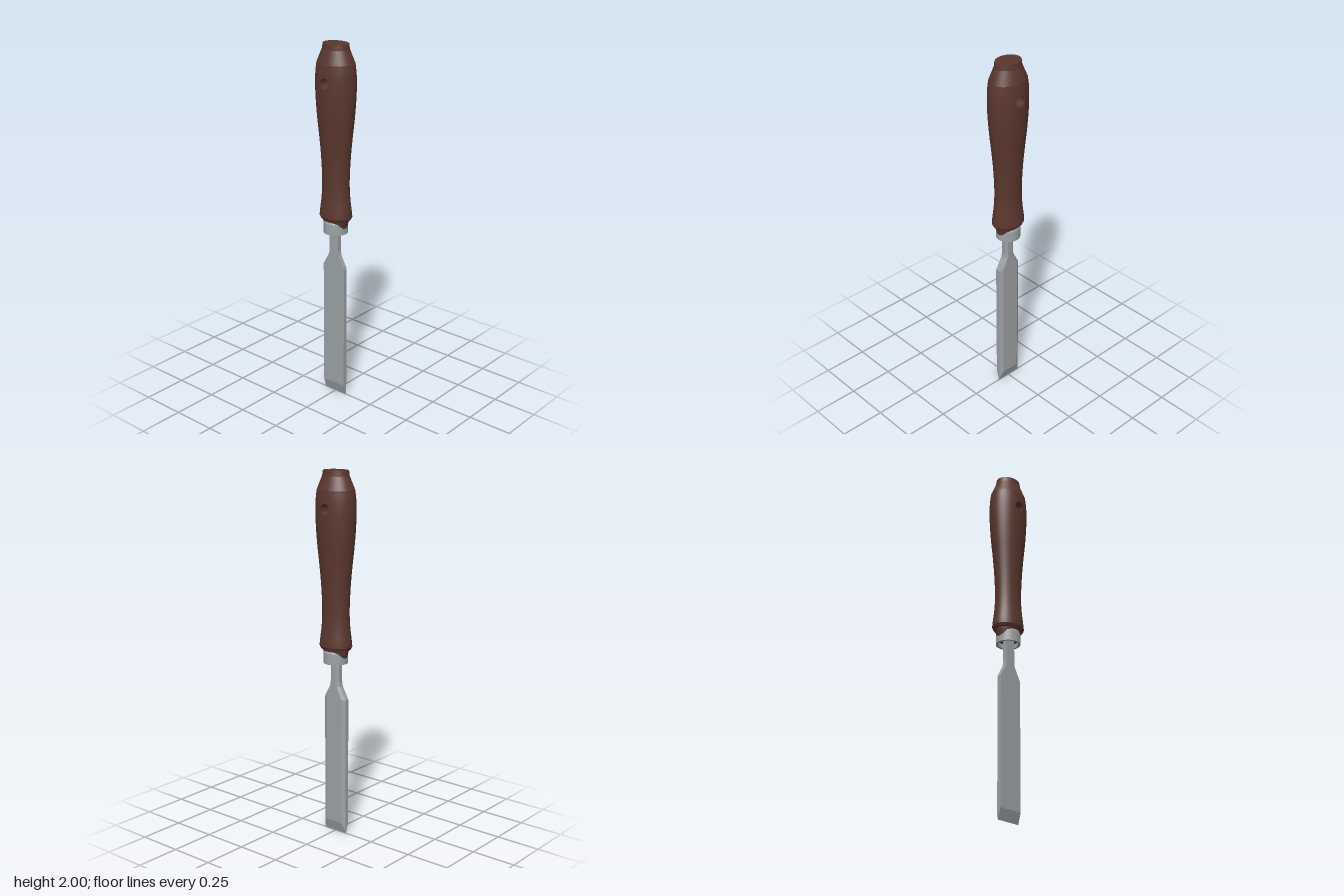
import * as THREE from 'three';
import { mergeGeometries } from 'three/addons/utils/BufferGeometryUtils.js';

const FLAT = 0.8;                       // handle depth / width
const HOLE_Y = 1.805, HOLE_R = 0.029;   // hanging hole
const Y0 = 1.07, Y1 = 1.9;              // ends of the curved grip

// Grip half-width as a smooth function of height
const gripCurve = new THREE.CubicInterpolant(
  [Y0, 1.1, 1.17, 1.25, 1.4, 1.5, 1.6, 1.7, 1.78, 1.85, Y1],
  [0.095, 0.092, 0.083, 0.079, 0.085, 0.094, 0.105, 0.113, 0.116, 0.114, 0.108], 1);
const R = y => gripCurve.evaluate(THREE.MathUtils.clamp(y, Y0, Y1))[0];
const onGrip = (t, y) => [R(y) * Math.cos(t), y, FLAT * R(y) * Math.sin(t)];

function gripNormal([x, y, z]) {
  const r = R(y), slope = (R(y + 0.002) - R(y - 0.002)) / 0.004;
  return [x, -r * slope, z / (FLAT * FLAT)];
}

// Grid of quads with a rule for points and one for normals
function grid(ni, nj, point, normal, skip = () => false) {
  const pos = [], nor = [], index = [];
  for (let i = 0; i <= ni; i++) for (let j = 0; j <= nj; j++) {
    const p = point(i, j);
    pos.push(...p);
    nor.push(...new THREE.Vector3(...normal(p)).normalize().toArray());
    if (i === ni || j === nj || skip(i, j)) continue;
    const a = i * (nj + 1) + j, d = a + nj + 1;
    index.push(a, a + 1, d + 1, a, d + 1, d);
  }
  const g = new THREE.BufferGeometry();
  g.setAttribute('position', new THREE.Float32BufferAttribute(pos, 3));
  g.setAttribute('normal', new THREE.Float32BufferAttribute(nor, 3));
  g.setIndex(index);
  return g;
}

// Turned part whose profile corners all stay sharp
function sharpLathe(profile) {
  const pts = profile.map(p => new THREE.Vector2(...p));
  return mergeGeometries(pts.slice(1).map((p, i) => new THREE.LatheGeometry([pts[i], p], 64)));
}

function gripGeometry() {
  const SEG = 64, N = 8, LOW = 24, halfT = Math.PI / 8, halfY = 0.045;
  const ya = HOLE_Y - halfY, yb = HOLE_Y + halfY, ys = [];
  for (let i = 0; i < LOW; i++) ys.push(Y0 + (ya - Y0) * i / LOW);
  for (let i = 0; i < N; i++) ys.push(ya + (yb - ya) * i / N);
  for (let i = 0; i <= 6; i++) ys.push(yb + (Y1 - yb) * i / 6);

  // Main surface, leaving a window front and back
  const body = grid(SEG, ys.length - 1,
    (i, j) => onGrip(i / SEG * Math.PI * 2, ys[j]), gripNormal,
    (i, j) => j >= LOW && j < LOW + N && (i % 32) >= 12 && (i % 32) < 20);

  // Window filled from its square rim in to the round hole
  const corners = [[-1, -1], [1, -1], [1, 1], [-1, 1]];
  const patch = turn => grid(4, 4 * N, (k, j) => {
    const side = Math.floor(j / N) % 4, f = (j % N) / N;
    const [c, d] = [corners[side], corners[(side + 1) % 4]];
    const u = c[0] + (d[0] - c[0]) * f, v = c[1] + (d[1] - c[1]) * f;
    const a = Math.atan2(v, u), hy = HOLE_Y + HOLE_R * Math.sin(a);
    const ht = Math.acos(-HOLE_R * Math.cos(a) / R(hy));
    const t = THREE.MathUtils.lerp(ht, Math.PI / 2 + u * halfT, k / 4);
    return onGrip(t + turn, THREE.MathUtils.lerp(hy, HOLE_Y + v * halfY, k / 4));
  }, gripNormal);

  // Wall of the hole
  const bore = grid(32, 1, (i, j) => {
    const a = i / 32 * Math.PI * 2;
    const x = HOLE_R * Math.cos(a), y = HOLE_Y + HOLE_R * Math.sin(a);
    return [x, y, (j ? 1 : -1) * FLAT * Math.sqrt(R(y) ** 2 - x * x)];
  }, ([x, y]) => [-x, HOLE_Y - y, 0]);

  return mergeGeometries([body, patch(0), patch(Math.PI), bore]);
}

// Blade lofted through six-sided sections: flat front, bevelled back edges
function bladeGeometry() {
  // height, half-width, bevel width, front z, side z, back z
  const sections = [
    [0, 0.0725, 0.0002, 0.001, -0.0008, -0.001],
    [0.017, 0.0725, 0.0002, 0.006, -0.005, -0.0052],
    [0.06, 0.0725, 0.02, 0.018, -0.005, -0.018],
    [0.775, 0.0725, 0.02, 0.018, -0.005, -0.018],
    [0.845, 0.034, 0.015, 0.018, -0.007, -0.018],
    [0.87, 0.029, 0.013, 0.018, -0.008, -0.018],
    [1.02, 0.029, 0.013, 0.018, -0.008, -0.018]
  ];
  const rings = sections.map(([y, w, b, f, s, k]) =>
    [[w, y, f], [w, y, s], [w - b, y, k], [b - w, y, k], [-w, y, s], [-w, y, f]]);
  const pos = [];
  const tri = (...p) => p.forEach(v => pos.push(...v));
  for (let r = 0; r < rings.length - 1; r++) for (let i = 0; i < 6; i++) {
    const n = (i + 1) % 6, lo = rings[r], hi = rings[r + 1];
    tri(lo[i], lo[n], hi[n]);
    tri(lo[i], hi[n], hi[i]);
  }
  const bottom = rings[0], top = rings[rings.length - 1];
  for (let i = 1; i < 5; i++) {
    tri(bottom[0], bottom[i + 1], bottom[i]);
    tri(top[0], top[i], top[i + 1]);
  }
  const g = new THREE.BufferGeometry();
  g.setAttribute('position', new THREE.Float32BufferAttribute(pos, 3));
  g.computeVertexNormals();
  return g;
}

export function createModel() {
  const wood = new THREE.MeshStandardMaterial({ color: 0x5a372e });
  wood.name = 'darkWood';
  const steel = new THREE.MeshStandardMaterial({ color: 0x9ca2a5 });
  steel.name = 'steel';

  const model = new THREE.Group();
  model.name = 'chisel';
  const add = (name, geometry, material, parent = model) => {
    const mesh = new THREE.Mesh(geometry, material);
    mesh.name = name;
    parent.add(mesh);
    return mesh;
  };

  // Handle: curved grip, tapered butt and stepped foot
  const handle = new THREE.Group();
  handle.name = 'handle';
  model.add(handle);
  add('grip', gripGeometry(), wood, handle);
  const butt = sharpLathe([[0.108, Y1], [0.077, 1.972], [0.073, 2], [0, 2]]);
  add('buttEnd', butt, wood, handle).scale.z = FLAT;
  const foot = sharpLathe([[0, 1.0], [0.063, 1.0], [0.067, 1.012], [0.074, 1.04],
    [0.077, 1.055], [0.087, 1.055], [0.095, Y0]]);
  add('handleFoot', foot, wood, handle).scale.z = FLAT;

  // Hollow collar between handle and blade
  add('ferrule', sharpLathe([[0.054, 1.02], [0.054, 0.975], [0.066, 0.975],
    [0.066, 1.036], [0.062, 1.045], [0.045, 1.045]]), steel);

  add('blade', bladeGeometry(), steel);
  return model;
}
